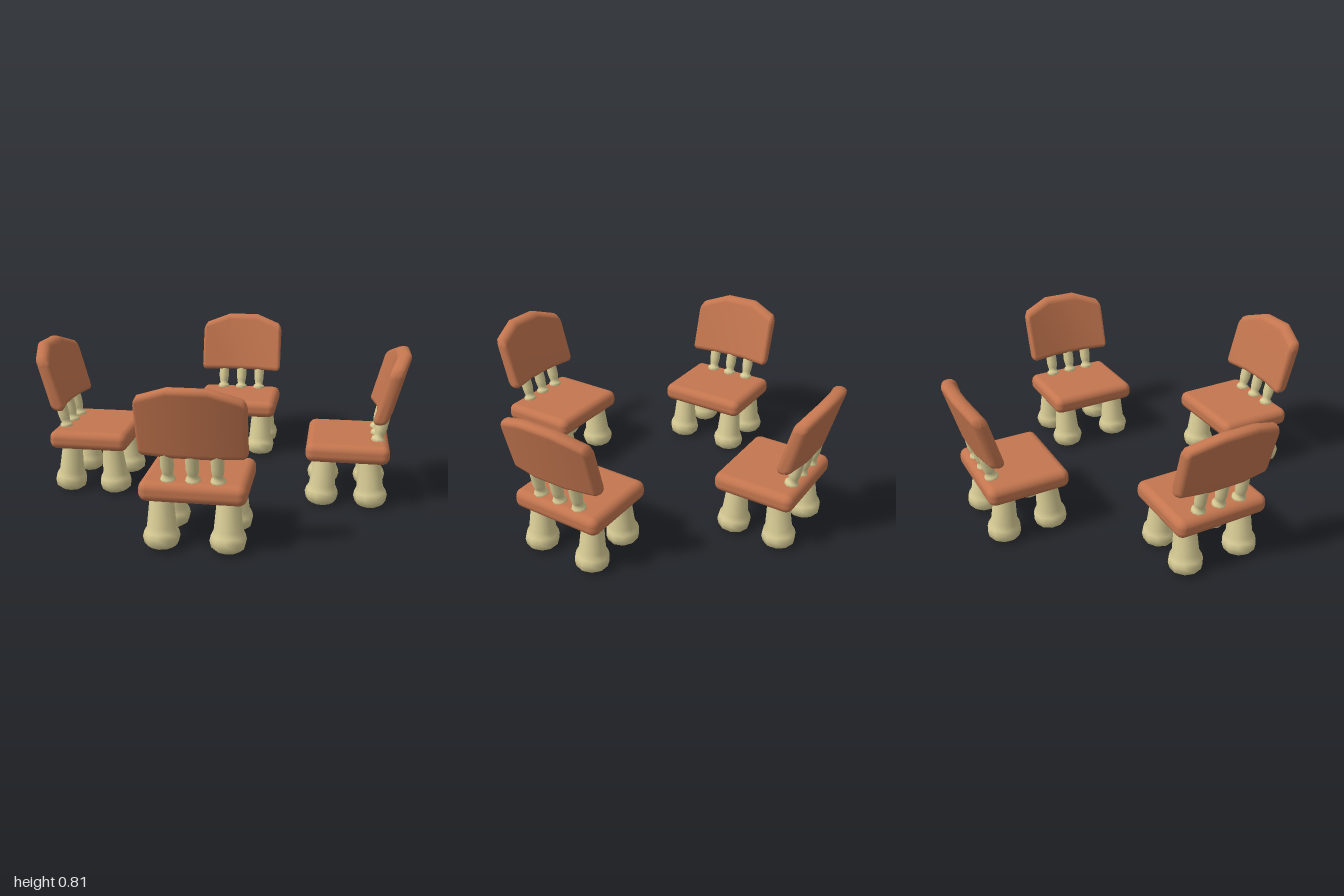
import * as THREE from 'three';
import { RoundedBoxGeometry } from 'three/addons/geometries/RoundedBoxGeometry.js';

const wood = new THREE.MeshStandardMaterial({ color: 0xc4764f });
const cream = new THREE.MeshStandardMaterial({ color: 0xd9cd96 });

function lathe(profile, segments) {
  return new THREE.LatheGeometry(profile.map(([r, y]) => new THREE.Vector2(r, y)), segments);
}

function addMesh(parent, name, geometry, material, x, y, z, tilt = 0) {
  const mesh = new THREE.Mesh(geometry, material);
  mesh.name = name;
  mesh.position.set(x, y, z);
  mesh.rotation.x = tilt;
  parent.add(mesh);
  return mesh;
}

// Curved, reclined panel lofted across its width from rounded rectangles
function backrestGeometry() {
  const bottom = 0.465, half = 0.0375, lean = 0.27;
  // x, inset, top height, forward offset
  const rightSide = [
    [0.09, 0, 0.81, 0], [0.23, 0, 0.76, 0.026],
    [0.244, 0.007, 0.747, 0.029], [0.25, 0.022, 0.742, 0.03],
  ];
  const sections = [...rightSide.map(([x, ...rest]) => [-x, ...rest]).reverse(), ...rightSide];
  const positions = [], indices = [];
  const steps = 3, ring = 4 * (steps + 1);

  for (const [x, inset, top, forward] of sections) {
    const h = half - inset, r = Math.min(0.03, h * 0.9);
    const lo = bottom + inset, hi = top - inset;
    for (let corner = 0; corner < 4; corner++) {
      const cy = corner === 0 || corner === 3 ? hi - r : lo + r;
      const cz = corner < 2 ? h - r : r - h;
      for (let s = 0; s <= steps; s++) {
        const t = (corner + s / steps) * Math.PI / 2;
        const y = cy + r * Math.cos(t);
        const z = cz + r * Math.sin(t) + forward - lean * (y - bottom);
        positions.push(x, y, z);
      }
    }
  }
  for (let i = 0; i < sections.length - 1; i++) {
    for (let j = 0; j < ring; j++) {
      const k = (j + 1) % ring;
      const a = i * ring + j, b = i * ring + k;
      indices.push(a, b, b + ring, a, b + ring, a + ring);
    }
  }
  // End caps
  const last = (sections.length - 1) * ring;
  for (let j = 1; j < ring - 1; j++) {
    indices.push(0, j + 1, j, last, last + j, last + j + 1);
  }
  const geometry = new THREE.BufferGeometry();
  geometry.setAttribute('position', new THREE.Float32BufferAttribute(positions, 3));
  geometry.setIndex(indices);
  geometry.computeVertexNormals();
  return geometry;
}

function createChair(parts) {
  const chair = new THREE.Group();
  addMesh(chair, 'seat', parts.seat, wood, 0, 0.3, -0.69);
  addMesh(chair, 'backrest', parts.backrest, wood, 0, 0, -0.8675);

  // Stubby legs, slightly splayed front to back
  for (const side of [-1, 1]) {
    addMesh(chair, 'frontLeg', parts.leg, cream, side * 0.157, 0.008, -0.56, -0.06);
    addMesh(chair, 'rearLeg', parts.leg, cream, side * 0.157, 0.008, -0.822, 0.08);
  }
  // Spindles joining the seat and backrest
  for (const x of [-0.115, 0, 0.115]) {
    addMesh(chair, 'backSpindle', parts.spindle, cream, x, 0.335, -0.842, -0.2);
  }
  return chair;
}

export function createModel() {
  const model = new THREE.Group();
  const parts = {
    seat: new RoundedBoxGeometry(0.5, 0.1, 0.43, 3, 0.04),
    backrest: backrestGeometry(),
    leg: lathe([[0, 0], [0.06, 0], [0.08, 0.016], [0.088, 0.05], [0.082, 0.075],
      [0.069, 0.1], [0.054, 0.26]], 10),
    spindle: lathe([[0.03, 0], [0.037, 0.015], [0.034, 0.028], [0.023, 0.038],
      [0.027, 0.055], [0.031, 0.085], [0.03, 0.165]], 10),
  };
  // Four chairs facing the middle
  const names = ['backChair', 'rightChair', 'frontChair', 'leftChair'];
  names.forEach((name, i) => {
    const chair = createChair(parts);
    chair.name = name;
    chair.rotation.y = i * Math.PI / 2;
    chair.position.z = i % 2 ? 0.02 : 0;
    model.add(chair);
  });
  return model;
}
